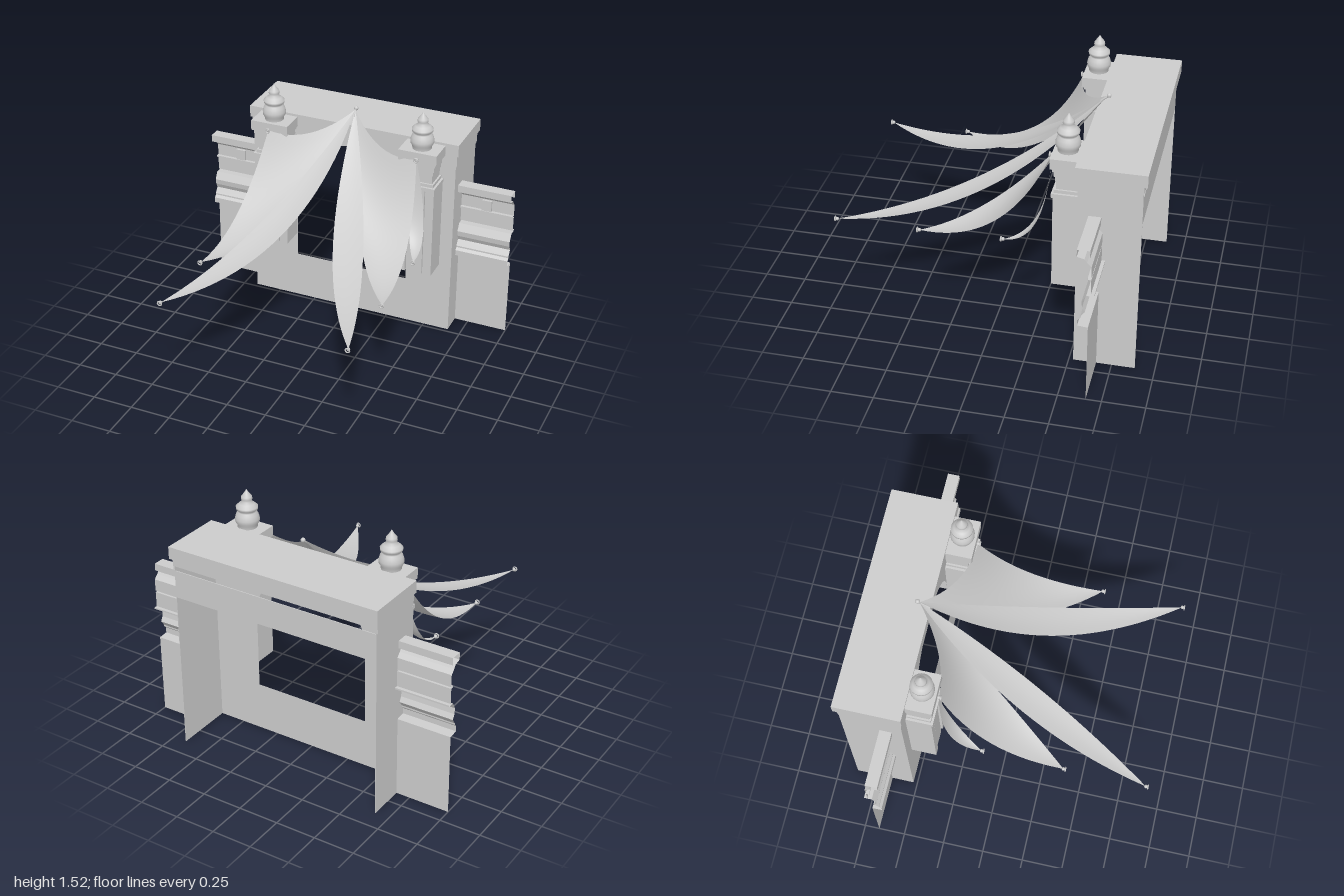
import * as THREE from 'three';

const solid = new THREE.MeshStandardMaterial({ color: 0xcccccc, side: THREE.DoubleSide });
const flat = new THREE.MeshStandardMaterial({ color: 0xcccccc, side: THREE.DoubleSide, flatShading: true });

export function createModel() {
  const root = new THREE.Group();

  function add(name, geometry, parent, material = solid) {
    const mesh = new THREE.Mesh(geometry, material);
    mesh.name = name;
    parent.add(mesh);
    return mesh;
  }
  // Box given by its low and high limits on each axis
  function box(name, x0, x1, y0, y1, z0, z1, parent) {
    const mesh = add(name, new THREE.BoxGeometry(Math.abs(x1 - x0), y1 - y0, z1 - z0), parent);
    mesh.position.set((x0 + x1) / 2, (y0 + y1) / 2, (z0 + z1) / 2);
  }
  function part(name) {
    const group = new THREE.Group();
    group.name = name;
    root.add(group);
    return group;
  }
  // Sheet of nu x nv cells whose points come from fn(u, v)
  function sheet(nu, nv, fn) {
    const pos = [], index = [];
    for (let i = 0; i <= nu; i++)
      for (let j = 0; j <= nv; j++) pos.push(...fn(i / nu, j / nv));
    for (let i = 0; i < nu; i++)
      for (let j = 0; j < nv; j++) {
        const a = i * (nv + 1) + j, b = a + nv + 1;
        index.push(a, b, a + 1, b, b + 1, a + 1);
      }
    const g = new THREE.BufferGeometry();
    g.setAttribute('position', new THREE.Float32BufferAttribute(pos, 3));
    g.setIndex(index);
    g.computeVertexNormals();
    return g;
  }
  const lerp = (a, b, t) => a.map((n, k) => n + (b[k] - n) * t);
  const bezier = (a, b, c, t) => lerp(lerp(a, b, t), lerp(b, c, t), t);

  // Gate body: arched front, side walls, open back with a lintel
  const gate = part('gateBody');
  const front = new THREE.Shape([
    [-0.665, 0], [0.665, 0], [0.665, 1.19], [-0.665, 1.19],
  ].map(p => new THREE.Vector2(...p)));
  const opening = new THREE.Path();
  opening.moveTo(-0.37, 0.305);
  opening.lineTo(-0.37, 0.78);
  opening.absarc(0, 0.78, 0.37, Math.PI, 0, true);
  opening.lineTo(0.37, 0.305);
  opening.closePath();
  front.holes.push(opening);
  add('archedFront', new THREE.ShapeGeometry(front, 24), gate).position.z = -0.525;
  for (const s of [-1, 1]) {
    box('sideWall', s * 0.661, s * 0.665, 0, 1.19, -0.885, -0.525, gate);
    box('sideTrim', s * 0.661, s * 0.672, 1.155, 1.19, -0.885, -0.52, gate);
  }
  box('frontTrim', -0.672, 0.672, 1.155, 1.19, -0.525, -0.519, gate);
  box('backLintel', -0.665, 0.665, 0.98, 1.15, -0.885, -0.88, gate);
  box('upperMoulding', -0.672, 0.672, 1.18, 1.23, -0.888, -0.517, gate);
  box('roofSlab', -0.682, 0.682, 1.23, 1.305, -0.907, -0.51, gate);

  // Profile of the low wing walls, as [z, y]
  const wingProfile = [
    [-0.66, 0], [-0.66, 0.5], [-0.6, 0.505], [-0.6, 0.54], [-0.615, 0.555], [-0.615, 0.565],
    [-0.64, 0.6], [-0.625, 0.63], [-0.62, 0.665], [-0.645, 0.71], [-0.69, 0.71], [-0.69, 0.72],
    [-0.67, 0.72], [-0.67, 0.815], [-0.65, 0.815], [-0.65, 0.825], [-0.67, 0.825], [-0.67, 0.9],
    [-0.645, 0.925], [-0.63, 0.945], [-0.588, 0.955], [-0.588, 1], [-0.66, 1], [-0.66, 0.955],
  ];
  // Turned finial profile, as [radius, y]
  const finialProfile = [
    [0.058, 1.29], [0.06, 1.31], [0.07, 1.325], [0.071, 1.345], [0.064, 1.37], [0.053, 1.385],
    [0.05, 1.395], [0.063, 1.402], [0.064, 1.417], [0.045, 1.435], [0.027, 1.448],
    [0.033, 1.463], [0.031, 1.478], [0.014, 1.5], [0, 1.523],
  ].map(p => new THREE.Vector2(...p));
  // Pilaster capital blocks, as [half width, bottom, top]
  const capital = [
    [0.12, 1.225, 1.29], [0.108, 1.205, 1.225], [0.1, 1.17, 1.205], [0.093, 1.14, 1.17],
    [0.087, 1.085, 1.14], [0.098, 1.065, 1.085], [0.112, 1.04, 1.065],
  ];

  // Cloth corners on the +x side
  const apex = [0, 1.385, -0.565], hook = [0.48, 1.25, -0.345];
  const tipLong = [0.575, 0.71, 0.89], tipMid = [0.575, 0.705, 0.4], tipShort = [0.575, 0.715, -0.09];

  for (const s of [-1, 1]) {
    const side = s > 0 ? 'left' : 'right';

    // Wing wall with small blocks under its cornice
    const wing = part(side + 'Wing');
    const n = wingProfile.length - 1;
    const wall = sheet(n, 1, (u, v) => {
      const [z, y] = wingProfile[Math.round(u * n)];
      return [s * (0.665 + 0.335 * v), y, z];
    });
    add('wingWall', wall.toNonIndexed(), wing, flat);
    box('corniceBlock', s * 0.8, s * 0.86, 0.825, 0.895, -0.67, -0.655, wing);

    // Pilaster with two grooves in its front
    const pilaster = part(side + 'Pilaster');
    const cx = s * 0.48;
    box('shaftCore', cx - 0.1, cx + 0.1, 0.46, 1.04, -0.525, -0.395, pilaster);
    box('shaftPanel', cx - 0.045, cx + 0.045, 0.46, 1.04, -0.4, -0.38, pilaster);
    for (const e of [-1, 1])
      box('shaftEdge', cx + e * 0.062, cx + e * 0.107, 0.46, 1.04, -0.525, -0.373, pilaster);
    for (const [h, y0, y1] of capital)
      box('capitalBlock', cx - h, cx + h, y0, y1, -0.52, -0.475 + h, pilaster);
    add('finial', new THREE.LatheGeometry(finialProfile, 24), pilaster).position.set(cx, 0, -0.435);

    // Hanging cloths: top edge a-b, sagging through c-d, drawn to one tip
    const drapes = part(side + 'Drapes');
    const cloth = (name, a, mid, b, c, d, tip) =>
      add(name, sheet(24, 12, (u, v) => {
        const [x, y, z] = bezier(bezier(a, mid, b, v), lerp(c, d, v), tip, u);
        return [s * x, y - 0.03 * Math.sin(Math.PI * v) * u * (1 - u), z];
      }), drapes);
    cloth('longCloth', apex, apex, apex, [0.045, 0.65, 0.15], [0.385, 0.67, 0.05], tipLong);
    cloth('wideCloth', apex, [0.22, 1.19, -0.36], hook, [0.2, 0.65, -0.03], [0.57, 0.65, -0.1], tipMid);
    cloth('shortCloth', hook, hook, hook, [0.43, 0.71, -0.32], [0.6, 0.72, -0.34], tipShort);

    // Knots at the cloth corners
    for (const [x, y, z] of [tipLong, tipMid, tipShort, hook]) {
      add('knot', new THREE.SphereGeometry(0.011, 10, 8), drapes).position.set(s * x, y, z);
      const ring = add('knotRing', new THREE.TorusGeometry(0.013, 0.004, 6, 12), drapes);
      ring.position.set(s * x, y, z + 0.012);
    }
  }

  // Short slanted peg that holds the cloths at the top
  const peg = part('topPeg');
  const path = new THREE.LineCurve3(new THREE.Vector3(0, 1.35, -0.53), new THREE.Vector3(0, 1.39, -0.58));
  add('pegRod', new THREE.TubeGeometry(path, 1, 0.006, 8), peg);
  add('pegKnob', new THREE.SphereGeometry(0.014, 12, 8), peg).position.set(0, 1.39, -0.577);

  return root;
}
